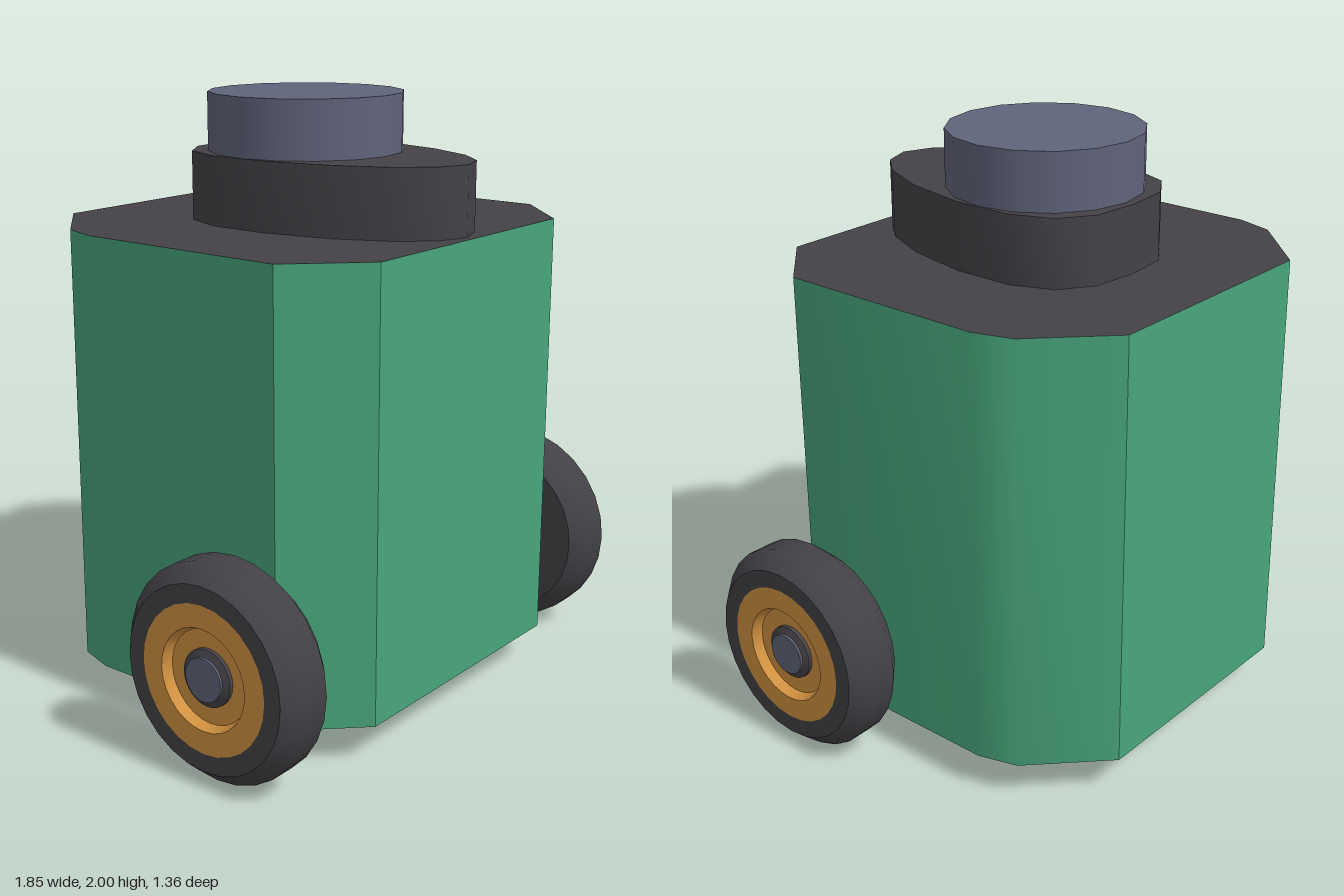
import * as THREE from 'three';
import { toCreasedNormals } from 'three/addons/utils/BufferGeometryUtils.js';

const material = (name, color) => new THREE.MeshStandardMaterial({ name, color });
const green = material('green shell', 0x48a67c);
const black = material('charcoal', 0x444247);
const slate = material('slate', 0x60647a);
const steel = material('pale steel', 0x9498b0);
const orange = material('orange rim', 0xd49342);
const rad = THREE.MathUtils.degToRad;
const vectors = (list) => list.map(([x, y]) => new THREE.Vector2(x, y));

function mesh(name, geometry, mat) {
  const m = new THREE.Mesh(geometry, mat);
  m.name = name;
  return m;
}

// Upright prism from the +x half of a plan outline in (x, z), mirrored across x
function prism(half, bottom, top, crease) {
  const mirrored = half.filter(([x]) => x > 0).reverse().map(([x, z]) => [-x, z]);
  const shape = new THREE.Shape(vectors([...half, ...mirrored]));
  const geometry = new THREE.ExtrudeGeometry(shape, { depth: top - bottom, bevelEnabled: false });
  geometry.rotateX(Math.PI / 2).translate(0, top, 0);
  return toCreasedNormals(geometry, rad(crease));
}

// Turned part about the x axis; points are [radius, x]
function turned(points, segments = 28) {
  const geometry = new THREE.LatheGeometry(vectors(points), segments).rotateZ(-Math.PI / 2);
  return toCreasedNormals(geometry, rad(44));
}

function wheel(name) {
  const group = new THREE.Group();
  group.name = name;
  group.add(
    mesh('tyre', turned([
      [0, -0.103], [0.3, -0.103], [0.352, -0.045], [0.352, 0.045], [0.3, 0.103], [0.24, 0.103],
    ]), black),
    // Rim with a stepped recess
    mesh('rim', turned([
      [0.24, 0.103], [0.165, 0.103], [0.152, 0.07], [0.09, 0.07],
    ]), orange),
    mesh('hubCollar', turned([[0.092, 0.07], [0.092, 0.083], [0.07, 0.092]]), black),
    mesh('hubCap', turned([[0.07, 0.092], [0.07, 0.1], [0, 0.1]]), slate),
  );
  return group;
}

export function createModel() {
  const robot = new THREE.Group();
  robot.name = 'wheeledRobot';

  // Chamfered body: dark top and underside, green walls
  const bodyPlan = [[0.43, -0.68], [0.66, -0.45], [0.7, -0.32], [0.7, 0.42], [0.485, 0.64]];
  robot.add(mesh('body', prism(bodyPlan, 0.13, 1.585, 35), [black, green]));

  // Egg-shaped sensor mount
  const mountPlan = [
    [0, -0.37], [0.16, -0.355], [0.27, -0.28], [0.325, -0.14], [0.325, 0.07],
    [0.275, 0.3], [0.195, 0.475], [0.105, 0.575], [0, 0.615],
  ];
  robot.add(mesh('sensorMount', prism(mountPlan, 1.585, 1.81, 50), black));

  // Round sensor head
  const head = mesh('sensorHead', new THREE.CylinderGeometry(0.322, 0.322, 0.19, 16), slate);
  head.position.set(0, 1.905, -0.02);
  robot.add(head);

  // Drive wheels, hubs facing outwards
  for (const side of [1, -1]) {
    const w = wheel(side > 0 ? 'leftWheel' : 'rightWheel');
    w.position.set(side * 0.822, 0.357, 0.325);
    if (side < 0) w.rotation.y = Math.PI;
    robot.add(w);
  }

  // Rear ball caster
  const ball = mesh('casterBall', new THREE.SphereGeometry(0.08, 16, 12), steel);
  ball.position.set(0, 0.092, -0.515);
  robot.add(ball);

  return robot;
}
